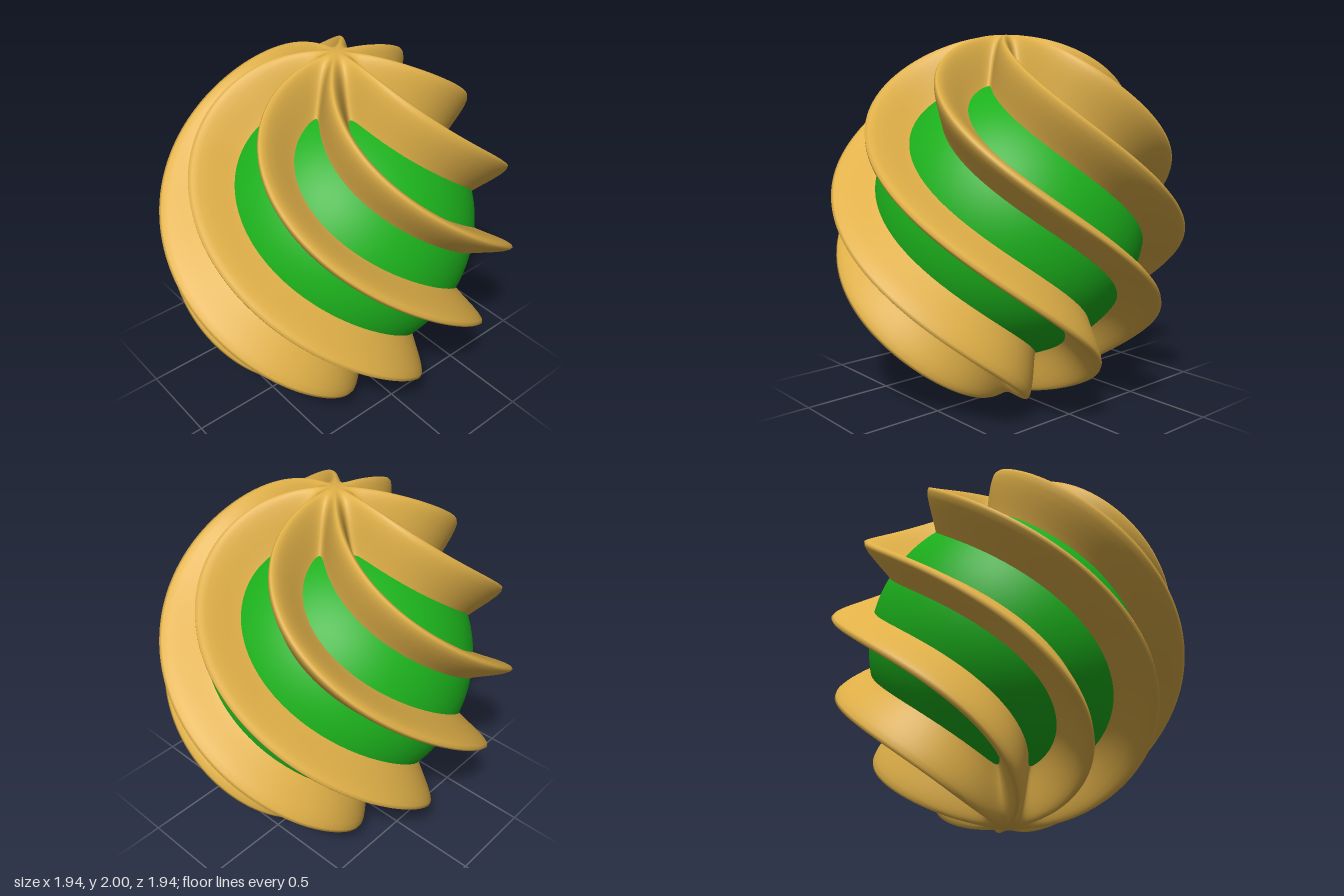
import * as THREE from 'three';
import { mergeVertices } from 'three/addons/utils/BufferGeometryUtils.js';

const RIBS = 8;
const STEP = (Math.PI * 2) / RIBS;
const TWIST = THREE.MathUtils.degToRad(82);   // turn of a rib from equator to pole
const PHASE = THREE.MathUtils.degToRad(-11.25); // heading of a crest at the equator
const RIB_WIDTH = 0.075;
const VALLEY = 0.7;

// Bell-shaped rib profile over the distance from the crest line
const bell = (d) => Math.exp(-((d / RIB_WIDTH) ** 2));

// Sphere pushed inwards between eight ribs, which spiral from pole to pole
function twistedRibs() {
  let geo = new THREE.SphereGeometry(1, RIBS * 30, 132);
  const pos = geo.attributes.position;
  for (let i = 0; i < pos.count; i++) {
    const y = pos.getY(i);
    const s = Math.hypot(pos.getX(i), pos.getZ(i));
    const theta = Math.atan2(pos.getX(i), pos.getZ(i));

    // distances square to the two nearest crests
    const off = Math.abs(theta - Math.round(theta / STEP) * STEP);
    const square = s / Math.hypot(1, TWIST * s * s);
    const rise = 1 - (1 - bell(off * square)) * (1 - bell((STEP - off) * square));

    const crest = 1 - 0.025 * s * s;
    const r = VALLEY + (crest - VALLEY) * rise;
    const az = theta + PHASE - TWIST * y;
    pos.setXYZ(i, r * s * Math.sin(az), r * y, r * s * Math.cos(az));
  }
  // weld the seam and poles so that shading stays smooth
  geo.deleteAttribute('uv');
  geo.deleteAttribute('normal');
  geo = mergeVertices(geo, 1e-5);
  geo.computeVertexNormals();
  return geo;
}

export function createModel() {
  const group = new THREE.Group();
  group.name = 'spiralRibbedBall';

  const ribs = new THREE.Mesh(twistedRibs(), new THREE.MeshStandardMaterial({ color: 0xe0b048 }));
  ribs.name = 'spiralRibs';

  const core = new THREE.Mesh(
    new THREE.SphereGeometry(0.76, 96, 64),
    new THREE.MeshStandardMaterial({ color: 0x1cb01c })
  );
  core.name = 'core';

  for (const part of [ribs, core]) {
    part.position.y = 1;
    group.add(part);
  }
  return group;
}
